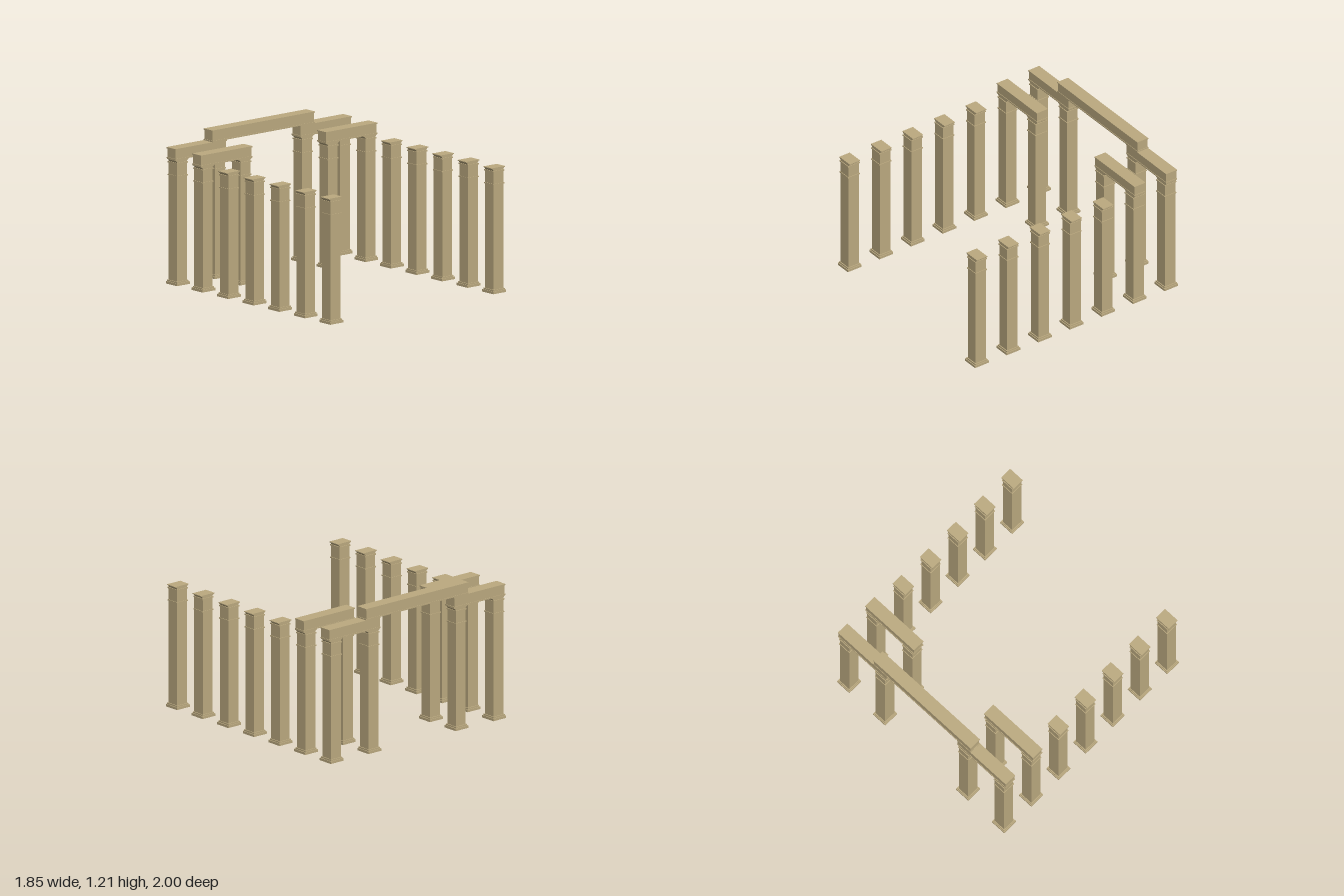
import * as THREE from 'three';

const stone = new THREE.MeshStandardMaterial({ color: 0xbcaa80 });
stone.name = 'sandstone';

// Box given by its width, depth and bottom/top heights
function block(name, w, d, y0, y1) {
  const mesh = new THREE.Mesh(new THREE.BoxGeometry(w, y1 - y0, d), stone);
  mesh.position.y = (y0 + y1) / 2;
  mesh.name = name;
  return mesh;
}

// Capital: flares sideways in a concave curve, flat front and back
function capitalGeometry() {
  const depth = 0.102;
  const s = new THREE.Shape();
  s.moveTo(-0.05, 0.995);
  s.lineTo(0.05, 0.995);
  s.quadraticCurveTo(0.053, 1.011, 0.07, 1.016);
  s.lineTo(0.07, 1.022);
  s.lineTo(-0.07, 1.022);
  s.lineTo(-0.07, 1.016);
  s.quadraticCurveTo(-0.053, 1.011, -0.05, 0.995);
  const g = new THREE.ExtrudeGeometry(s, { depth, bevelEnabled: false, curveSegments: 4 });
  g.translate(0, 0, -depth / 2);
  return g;
}

function createColumn(capitalGeo) {
  const column = new THREE.Group();
  column.name = 'column';
  const capital = new THREE.Mesh(capitalGeo, stone);
  capital.name = 'capital';
  column.add(
    block('plinth', 0.135, 0.135, 0, 0.02),
    block('baseStep', 0.12, 0.12, 0.02, 0.032),
    block('shaft', 0.104, 0.104, 0.032, 0.988),
    block('neckBand', 0.115, 0.115, 0.882, 0.892),
    block('collar', 0.115, 0.115, 0.986, 0.997),
    capital
  );
  return column;
}

// Lintel with thin lips along its bottom and top
function createBeam(name, length, y0, y1) {
  const beam = new THREE.Group();
  beam.name = name;
  beam.add(
    block('lowerLip', length, 0.108, y0, y0 + 0.01),
    block('beamBody', length - 0.01, 0.1, y0 + 0.01, y1 - 0.01),
    block('upperLip', length, 0.108, y1 - 0.01, y1)
  );
  return beam;
}

export function createModel() {
  const model = new THREE.Group();
  model.name = 'colonnade';
  const capitalGeo = capitalGeometry();
  const outerX = 0.854, innerX = 0.458, step = 0.311;

  for (const side of [-1, 1]) {
    for (let row = -3; row <= 3; row++) {
      const z = row * step;
      const hasBeam = row <= -2;
      // Outer colonnade, with an inner column in the two back rows
      for (const x of hasBeam ? [outerX, innerX] : [outerX]) {
        const column = createColumn(capitalGeo);
        column.position.set(side * x, 0, z);
        model.add(column);
      }
      if (hasBeam) {
        const beam = createBeam('sideBeam', 0.54, 1.022, 1.113);
        beam.position.set(side * (outerX + innerX) / 2, 0, z);
        model.add(beam);
      }
    }
  }

  // Raised beam bridging the back row
  const bridge = createBeam('bridgeBeam', 1.076, 1.113, 1.208);
  bridge.position.z = -3 * step;
  model.add(bridge);
  return model;
}
